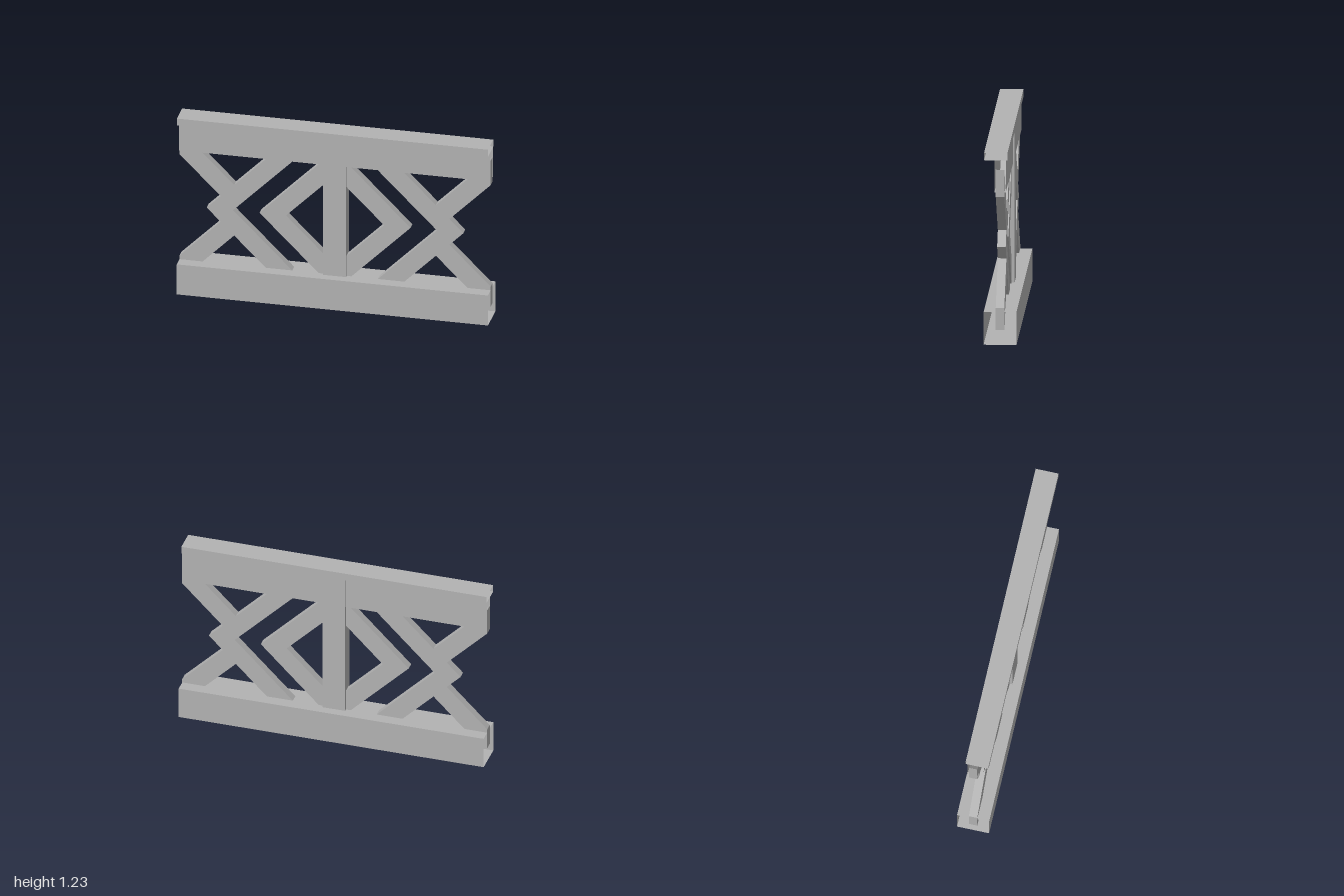
import * as THREE from 'three';

const steel = new THREE.MeshStandardMaterial({ color: 0xb2b2b2, side: THREE.DoubleSide });
steel.name = 'grey steel';

// Open-ended hollow beam along x, from a closed [z, y] profile
function hollowBeam(name, profile) {
  const pos = [];
  profile.forEach(([z0, y0], i) => {
    const [z1, y1] = profile[(i + 1) % profile.length];
    pos.push(-1, y0, z0, 1, y0, z0, 1, y1, z1, -1, y0, z0, 1, y1, z1, -1, y1, z1);
  });
  const geo = new THREE.BufferGeometry();
  geo.setAttribute('position', new THREE.Float32BufferAttribute(pos, 3));
  geo.computeVertexNormals();
  const mesh = new THREE.Mesh(geo, steel);
  mesh.name = name;
  return mesh;
}

const MID = 0.59, UP = 0.53, DOWN = 0.495, DEPTH = 0.054;

// Flat bar outline, symmetric about MID: half(d) lists [x, height from MID] up to reach d
function lattice(name, half, side) {
  const upper = half(UP).map(([x, h]) => [x, MID + h]);
  const lower = half(DOWN).map(([x, h]) => [x, MID - h]).reverse();
  const pts = [...upper, ...lower].map(([x, y]) => new THREE.Vector2(x * side, y));
  const geo = new THREE.ExtrudeGeometry(new THREE.Shape(pts), { depth: DEPTH, bevelEnabled: false });
  geo.translate(0, 0, -DEPTH / 2);
  const mesh = new THREE.Mesh(geo, steel);
  mesh.name = name;
  return mesh;
}

const chevron = d => [[0.315, 0], [0.315 - d, d], [0.485 - d, d], [0.485, 0]];
const cross = d => [
  [0.655, 0], [0.655 - d, d], [0.825 - d, d], [0.648, 0.177],
  [0.471 + d, d], [1, d], [1, 0.355], [0.735, 0.09], [0.825, 0],
];

export function createModel() {
  const group = new THREE.Group();
  group.name = 'trussRailing';

  group.add(hollowBeam('bottomBeam', [[0.103, 0], [0.103, 0.21], [-0.103, 0.21], [-0.103, 0]]));

  // Top beam with the handrail overhanging to the front
  group.add(hollowBeam('topBeam', [[0.036, 0.975], [0.036, 1.18], [-0.036, 1.18], [-0.036, 0.975]]));
  group.add(hollowBeam('handrail', [[0.1, 1.18], [0.1, 1.228], [-0.047, 1.228], [-0.047, 1.18]]));

  // Centre post
  const post = new THREE.Mesh(new THREE.BoxGeometry(0.147, 1.105, 0.09), steel);
  post.position.y = 0.095 + 1.105 / 2;
  post.name = 'centrePost';
  group.add(post);

  // Mirrored lattice bars
  for (const side of [1, -1]) {
    const label = side > 0 ? 'left' : 'right';
    group.add(lattice(label + 'Chevron', chevron, side));
    group.add(lattice(label + 'CrossBrace', cross, side));
  }
  return group;
}
